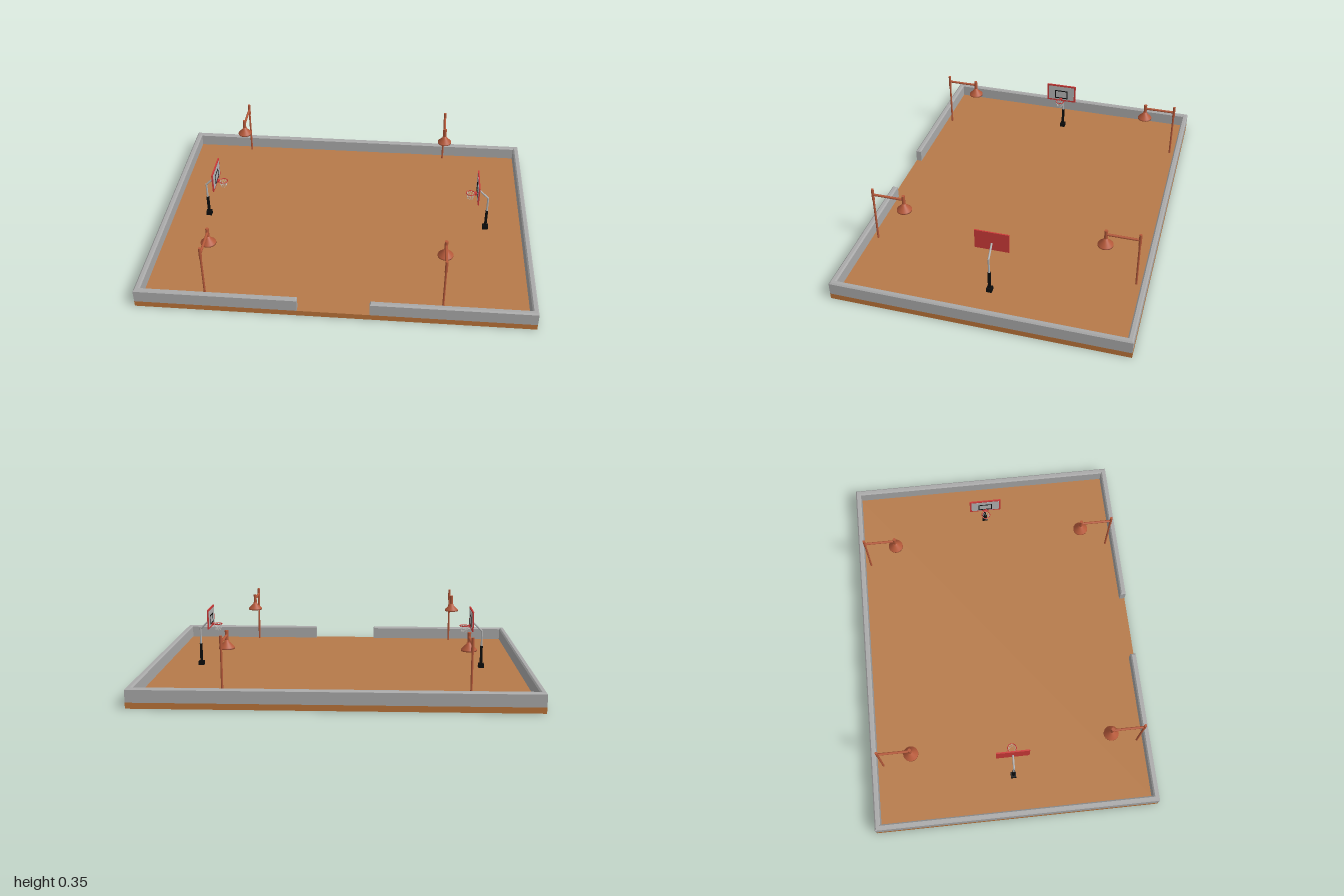
import * as THREE from 'three';

const mat = (name, color, side = THREE.FrontSide) => {
  const m = new THREE.MeshStandardMaterial({ color, side });
  m.name = name;
  return m;
};

export function createModel() {
  const clay = mat('clay floor', 0xb67a49);
  const earth = mat('base side', 0xba7338);
  const concrete = mat('concrete', 0xa9a9a9);
  const rust = mat('rusty lamp', 0xb5593a, THREE.DoubleSide);
  const red = mat('red board', 0xcc3a38);
  const black = mat('black padding', 0x0c0c0c);
  const steel = mat('steel', 0xb4b4b4);
  const net = mat('net cord', 0xd8d4d0);

  const root = new THREE.Group();
  root.name = 'basketballCourt';
  const add = (parent, name, geo, material, x = 0, y = 0, z = 0) => {
    const m = new THREE.Mesh(geo, material);
    m.name = name;
    m.position.set(x, y, z);
    parent.add(m);
    return m;
  };
  const box = (w, h, d) => new THREE.BoxGeometry(w, h, d);
  // straight bar between two points
  const bar = (parent, name, a, b, r, material, sides = 10) => {
    const p = new THREE.Vector3(...a), q = new THREE.Vector3(...b);
    const d = q.clone().sub(p);
    const m = add(parent, name, new THREE.CylinderGeometry(r, r, d.length(), sides), material);
    m.position.copy(p).add(q).multiplyScalar(0.5);
    m.quaternion.setFromUnitVectors(new THREE.Vector3(0, 1, 0), d.normalize());
    return m;
  };

  // ground slab: bright top layer on an earth base
  add(root, 'courtFloor', box(2, 0.03, 1.5), [earth, earth, clay, earth, earth, earth], 0, 0.015, 0);

  // one bevelled wall running around the court, open at the front gate
  const t = 0.03, gate = 0.18;
  const plan = new THREE.Shape([
    [gate, -0.75], [1, -0.75], [1, 0.75], [-1, 0.75], [-1, -0.75], [-gate, -0.75],
    [-gate, -0.75 + t], [-1 + t, -0.75 + t], [-1 + t, 0.75 - t],
    [1 - t, 0.75 - t], [1 - t, -0.75 + t], [gate, -0.75 + t],
  ].map(([x, y]) => new THREE.Vector2(x, y)));
  const bevel = 0.007;
  const wall = new THREE.ExtrudeGeometry(plan, {
    depth: 0.1 - 0.03 - bevel, bevelEnabled: true, bevelSize: bevel,
    bevelThickness: bevel, bevelOffset: -bevel, bevelSegments: 1,
  });
  wall.rotateX(-Math.PI / 2);
  add(root, 'boundaryWall', wall, concrete, 0, 0.03, 0);

  // street lamps, arm reaching towards local +z
  const shade = new THREE.LatheGeometry([
    [0.001, 0.293], [0.01, 0.29], [0.014, 0.28], [0.039, 0.255], [0.039, 0.247], [0.001, 0.25],
  ].map(([x, y]) => new THREE.Vector2(x, y)).reverse(), 28);
  const makeLamp = (x, side) => {
    const lamp = new THREE.Group();
    lamp.name = 'lamp';
    bar(lamp, 'lampPole', [0, 0.03, 0], [0, 0.29, 0], 0.0055, rust);
    bar(lamp, 'poleHead', [0, 0.282, 0], [0, 0.348, 0], 0.0075, rust);
    bar(lamp, 'lampArm', [0, 0.314, 0], [0, 0.314, 0.167], 0.0065, rust);
    bar(lamp, 'lampHanger', [0, 0.28, 0.167], [0, 0.338, 0.167], 0.009, rust);
    add(lamp, 'lampShade', shade, rust, 0, 0, 0.167);
    lamp.position.set(x, 0, side * 0.69);
    if (side > 0) lamp.rotation.y = Math.PI;
    root.add(lamp);
  };
  for (const x of [-0.65, 0.54]) for (const side of [-1, 1]) makeLamp(x, side);

  // hoops: built at x < 0 facing +x, turned round for the other end
  const makeHoop = (turn) => {
    const hoop = new THREE.Group();
    hoop.name = 'hoop';
    add(hoop, 'foot', box(0.03, 0.022, 0.028), black, -0.775, 0.041, 0);
    add(hoop, 'padding', box(0.013, 0.12, 0.013), black, -0.775, 0.09, 0);
    bar(hoop, 'post', [-0.775, 0.14, 0], [-0.775, 0.237, 0], 0.005, steel);
    bar(hoop, 'slopingPost', [-0.775, 0.234, 0], [-0.718, 0.29, 0], 0.005, steel);
    add(hoop, 'backboard', box(0.007, 0.107, 0.174), red, -0.716, 0.301, 0);
    add(hoop, 'boardFace', box(0.001, 0.088, 0.155), steel, -0.7122, 0.301, 0);
    // target square outline
    for (const s of [-1, 1]) {
      add(hoop, 'targetSide', box(0.002, 0.052, 0.006), black, -0.7112, 0.292, s * 0.036);
      add(hoop, 'targetBar', box(0.002, 0.006, 0.078), black, -0.7112, 0.292 + s * 0.024, 0);
    }
    add(hoop, 'rimBracket', box(0.012, 0.012, 0.018), red, -0.706, 0.262, 0);
    const rim = add(hoop, 'rim', new THREE.TorusGeometry(0.023, 0.0022, 6, 24), red, -0.677, 0.263, 0);
    rim.rotation.x = Math.PI / 2;
    // crossed net cords tapering downwards
    const n = 10;
    const at = (a, r, y) => [-0.677 + r * Math.cos(a), y, r * Math.sin(a)];
    for (let i = 0; i < n; i++) {
      const a = (i / n) * Math.PI * 2;
      for (const s of [-1, 1]) {
        const w = s * Math.PI / n;
        bar(hoop, 'netCord', at(a, 0.022, 0.262), at(a + w, 0.018, 0.245), 0.0008, net, 4);
        bar(hoop, 'netCord', at(a + w, 0.018, 0.245), at(a + 2 * w, 0.014, 0.228), 0.0008, net, 4);
      }
    }
    if (turn) hoop.rotation.y = Math.PI;
    root.add(hoop);
  };
  makeHoop(false);
  makeHoop(true);

  return root;
}
